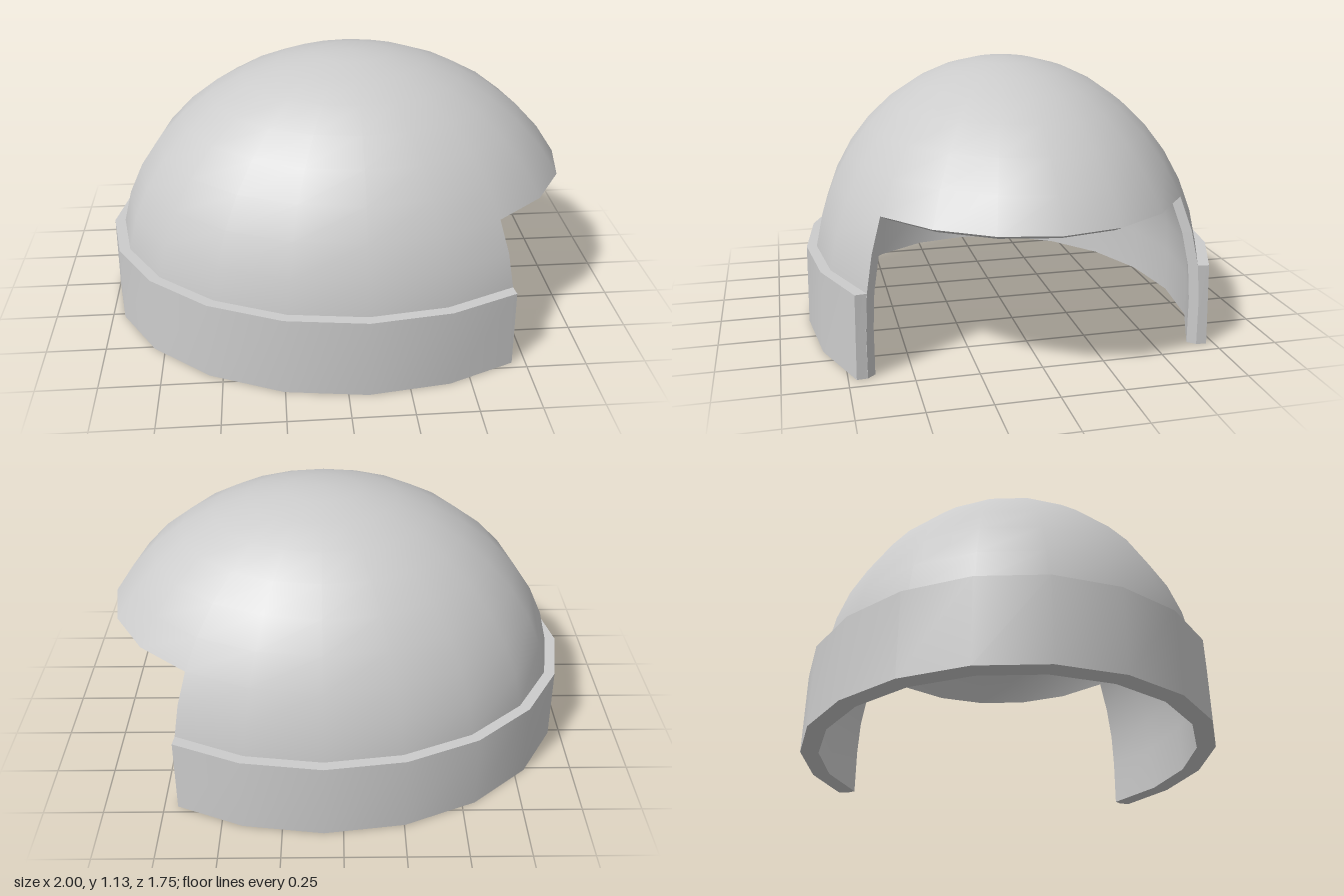
import * as THREE from 'three';
import { toCreasedNormals } from 'three/addons/utils/BufferGeometryUtils.js';

const SIDES = 20, CX = 0.08, BASE = 0.195, RIM = 7; // RIM: ring at the top of the opening
const STEP = (Math.PI * 2) / SIDES;
const START = 3 * STEP, BAND_START = THREE.MathUtils.degToRad(55.4);

// Profile point: x radius, z radius, height; band points stop slightly earlier at the opening
const pt = (rx, rz, y, band = false) => ({ rx, rz, y, band });

function place(p, a) {
  if (p.band) a = THREE.MathUtils.clamp(a, BAND_START, Math.PI * 2 - BAND_START);
  return [CX + p.rx * Math.cos(a), p.y, p.rz * Math.sin(a)];
}

// Quarter ellipse from the crown to the widest ring, then straight to the ground
function domeProfile(rx, rz, h) {
  const list = [];
  for (let i = 0; i <= 10; i++) {
    const t = (i / 10) * Math.PI / 2;
    list.push(pt(rx * Math.sin(t), rz * Math.sin(t), BASE + h * Math.cos(t)));
  }
  list.push(pt(rx, rz, 0));
  return list;
}

function quad(out, a, b, c, d) {
  const same = (p, q) => Math.hypot(p[0] - q[0], p[1] - q[1], p[2] - q[2]) < 1e-6;
  for (const [p, q, r] of [[a, b, c], [a, c, d]]) {
    if (!same(p, q) && !same(q, r) && !same(p, r)) out.push(...p, ...q, ...r);
  }
}

// Sweep a profile around the ellipse, from sector i0 to i1
function sweep(out, profile, i0, i1) {
  for (let i = i0; i < i1; i++) {
    const a = i * STEP, b = (i + 1) * STEP;
    for (let k = 0; k + 1 < profile.length; k++) {
      const p = profile[k], q = profile[k + 1];
      quad(out, place(p, a), place(p, b), place(q, b), place(q, a));
    }
  }
}

// Close both cut ends between an inner and an outer profile
function capEnds(out, inner, outer) {
  const end = Math.PI * 2 - START;
  for (let k = 0; k + 1 < inner.length; k++) {
    const loop = [inner[k], outer[k], outer[k + 1], inner[k + 1]];
    quad(out, ...loop.map((p) => place(p, START)));
    quad(out, ...loop.reverse().map((p) => place(p, end)));
  }
}

function makeMesh(name, positions) {
  const geo = new THREE.BufferGeometry();
  geo.setAttribute('position', new THREE.Float32BufferAttribute(positions, 3));
  const mesh = new THREE.Mesh(
    toCreasedNormals(geo, 0.6),
    new THREE.MeshStandardMaterial({ color: 0xcccccc })
  );
  mesh.name = name;
  return mesh;
}

export function createModel() {
  const group = new THREE.Group();
  group.name = 'helmet';
  const outer = domeProfile(1.037, 0.835, 0.94);
  const inner = domeProfile(0.99, 0.797, 0.895);

  // Hollow dome: full height round the back, cut short over the opening at +x
  const shell = [];
  sweep(shell, [...outer, ...[...inner].reverse()], 3, SIDES - 3);
  sweep(shell, [...outer.slice(0, RIM + 1), ...inner.slice(0, RIM + 1).reverse()], -3, 3);
  capEnds(shell, inner.slice(RIM), outer.slice(RIM));
  group.add(makeMesh('domeShell', shell));

  // Raised band round the lower edge
  const band = [];
  const top = outer[9];
  const bandOuter = [pt(1.07, 0.867, top.y, true), pt(1.08, 0.873, 0, true)];
  sweep(band, [top, ...bandOuter, outer[11]], 3, SIDES - 3);
  capEnds(band, [top, outer[11]], bandOuter);
  group.add(makeMesh('lowerBand', band));

  return group;
}
